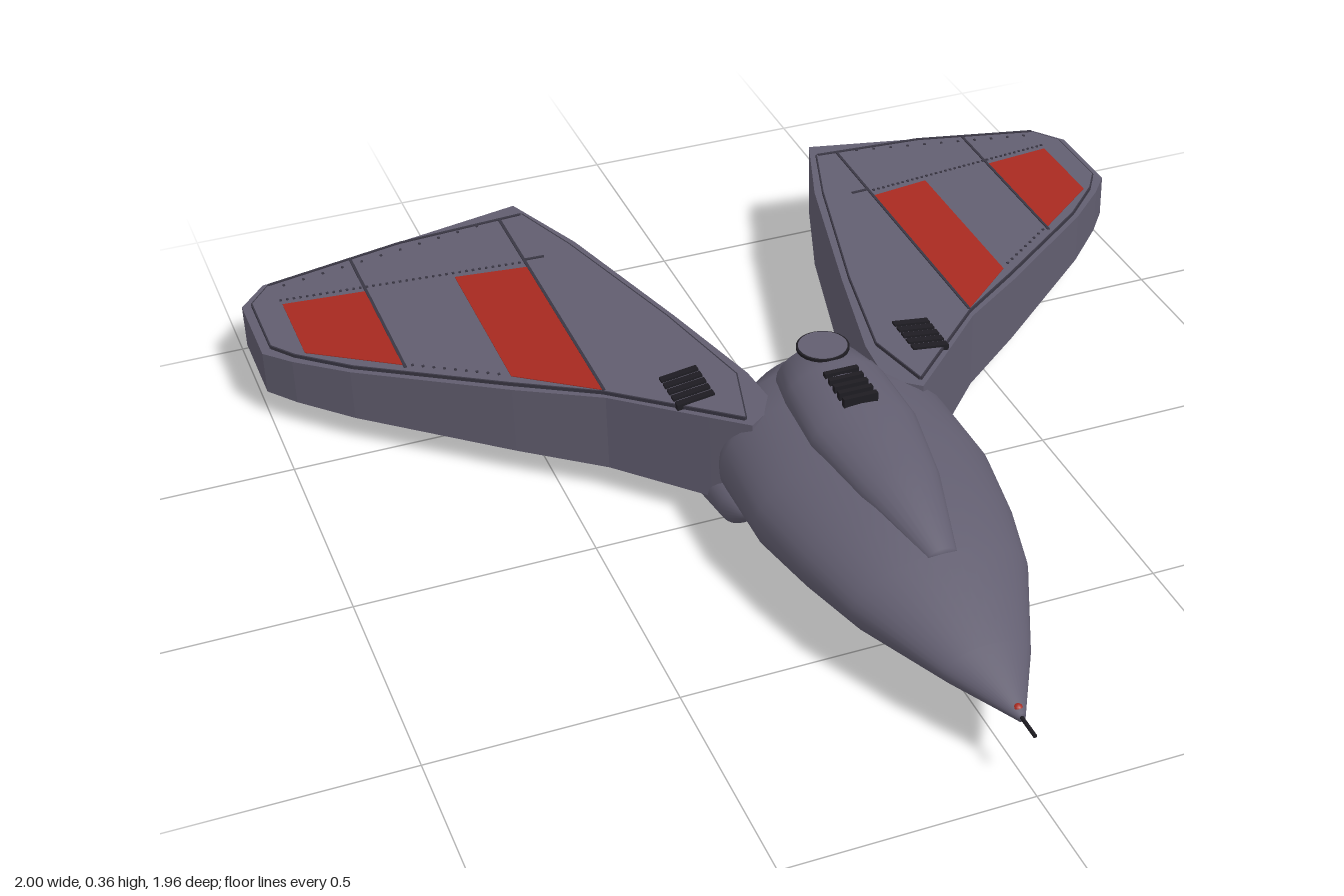
import * as THREE from 'three';

const mat = (name, color) => {
  const m = new THREE.MeshStandardMaterial({ color });
  m.name = name;
  return m;
};

export function createModel() {
  const root = new THREE.Group();
  root.name = 'fighterCraft';
  const grey = mat('hullGrey', 0x625e70);
  const red = mat('panelRed', 0xa82a20);
  const gold = mat('nozzleGold', 0xa8803e);
  gold.side = THREE.DoubleSide;
  const dark = mat('ventBlack', 0x1e1c22);
  const seam = mat('seamGrey', 0x3a3744);

  const add = (parent, name, geo, m, x = 0, y = 0, z = 0) => {
    const mesh = new THREE.Mesh(geo, m);
    mesh.name = name;
    mesh.position.set(x, y, z);
    parent.add(mesh);
    return mesh;
  };

  // Smooth loft through oval sections [z, halfWidth, top, bottom, centreX], nose to tail
  const loft = (sections, n = 32) => {
    const pos = [], idx = [];
    for (const [z, w, top, bot, cx = 0] of sections)
      for (let j = 0; j < n; j++) {
        const a = (j / n) * Math.PI * 2;
        pos.push(cx + w * Math.cos(a), (top + bot) / 2 + ((top - bot) / 2) * Math.sin(a), z);
      }
    const last = sections.length - 1;
    for (let i = 0; i < last; i++)
      for (let j = 0; j < n; j++) {
        const k = (j + 1) % n;
        const a = i * n + j, b = i * n + k, c = a + n, d = b + n;
        idx.push(a, c, b, b, c, d);
      }
    for (const i of [0, last]) {
      const [z, , top, bot, cx = 0] = sections[i];
      const centre = pos.length / 3;
      pos.push(cx, (top + bot) / 2, z);
      for (let j = 0; j < n; j++) {
        const a = i * n + j, b = i * n + ((j + 1) % n);
        if (i === 0) idx.push(centre, a, b);
        else idx.push(centre, b, a);
      }
    }
    const g = new THREE.BufferGeometry();
    g.setAttribute('position', new THREE.Float32BufferAttribute(pos, 3));
    g.setIndex(idx);
    g.computeVertexNormals();
    return g;
  };

  // Fuselage, canopy and nose probe
  add(root, 'fuselage', loft([
    [0.925, 0.008, 0.14, 0.12], [0.78, 0.088, 0.188, 0.098], [0.57, 0.183, 0.252, 0.065],
    [0.42, 0.222, 0.278, 0.045], [0.25, 0.252, 0.295, 0.025], [0.05, 0.25, 0.3, 0.018],
    [-0.06, 0.21, 0.292, 0.018], [-0.13, 0.13, 0.265, 0.04], [-0.18, 0.015, 0.2, 0.11],
  ], 40), grey);
  add(root, 'canopy', loft([
    [0.575, 0.03, 0.262, 0.23], [0.38, 0.083, 0.322, 0.22], [0.2, 0.113, 0.342, 0.23],
    [0.05, 0.108, 0.357, 0.23], [-0.04, 0.092, 0.347, 0.22], [-0.13, 0.04, 0.275, 0.2],
  ], 24), grey);
  add(root, 'probe', new THREE.CylinderGeometry(0.004, 0.004, 0.08, 8).rotateX(Math.PI / 2), dark, 0, 0.13, 0.94);
  add(root, 'noseLight', new THREE.SphereGeometry(0.01, 12, 8), red, 0, 0.138, 0.908);

  // Dorsal hatch and vent
  add(root, 'hatchRim', new THREE.CylinderGeometry(0.054, 0.054, 0.006, 24), dark, 0, 0.356, -0.015);
  add(root, 'hatch', new THREE.CylinderGeometry(0.05, 0.05, 0.007, 24), grey, 0, 0.357, -0.015);
  for (let i = 0; i < 5; i++)
    add(root, 'dorsalSlat', new THREE.BoxGeometry(0.072, 0.02, 0.012), dark, 0, 0.35, 0.082 + i * 0.024);

  // Wing upper surface falls evenly from root to tip
  const wingTop = (x) => 0.254 - 0.13 * (Math.abs(x) - 0.28);
  // Slab over an [x, z] outline, between bottom(x) and top(x)
  const slab = (outline, side, bottom, top) => {
    const shape = new THREE.Shape(outline.map(([x, z]) => new THREE.Vector2(x * side, -z)));
    const g = new THREE.ExtrudeGeometry(shape, { depth: 1, bevelEnabled: false }).rotateX(-Math.PI / 2);
    const p = g.attributes.position;
    for (let i = 0; i < p.count; i++) p.setY(i, p.getY(i) > 0.5 ? top(p.getX(i)) : bottom(p.getX(i)));
    g.computeVertexNormals();
    return g;
  };
  const plate = (outline, side, lo, hi) => slab(outline, side, (x) => wingTop(x) + lo, (x) => wingTop(x) + hi);
  // Thin strip outline between two points
  const strip = ([x1, z1], [x2, z2], w) => {
    const l = Math.hypot(x2 - x1, z2 - z1);
    const dx = (-(z2 - z1) / l) * w / 2, dz = ((x2 - x1) / l) * w / 2;
    return [[x1 + dx, z1 + dz], [x2 + dx, z2 + dz], [x2 - dx, z2 - dz], [x1 - dx, z1 - dz]];
  };

  const wingOutline = [
    [0.185, 0.07], [0.25, 0], [0.41, -0.175], [0.57, -0.305], [0.85, -0.55], [0.95, -0.655], [1, -0.72],
    [1, -0.92], [0.94, -0.98], [0.36, -0.98], [0.285, -0.76], [0.19, -0.37], [0.13, -0.1], [0.12, 0.03],
  ];
  const skinOutline = [
    [0.19, 0.045], [0.25, -0.02], [0.41, -0.192], [0.57, -0.325], [0.84, -0.56], [0.94, -0.67], [0.978, -0.73],
    [0.978, -0.91], [0.93, -0.962], [0.63, -0.965], [0.358, -0.925], [0.303, -0.75], [0.208, -0.37], [0.155, -0.1],
  ];
  const redPanels = [
    [[0.41, -0.192], [0.56, -0.34], [0.56, -0.76], [0.41, -0.71]],
    [[0.745, -0.5], [0.92, -0.66], [0.92, -0.868], [0.745, -0.815]],
  ];
  const seams = [
    [[0.408, -0.19], [0.408, -0.93]], [[0.745, -0.49], [0.745, -0.96]], [[0.365, -0.73], [0.405, -0.74]],
    [[0.63, -0.962], [0.93, -0.96]], [[0.36, -0.922], [0.63, -0.962]],
  ];

  for (const side of [1, -1]) {
    const wing = new THREE.Group();
    wing.name = side > 0 ? 'leftWing' : 'rightWing';
    root.add(wing);
    add(wing, 'wingBody', slab(wingOutline, side, () => 0.064, wingTop), grey);
    add(wing, 'wingSkin', plate(skinOutline, side, -0.005, 0.008), grey);
    // Dark border around the raised skin
    skinOutline.forEach((p, i) => {
      const q = skinOutline[(i + 1) % skinOutline.length];
      add(wing, 'skinEdge', plate(strip(p, q, 0.006), side, -0.002, 0.0075), seam);
    });
    for (const o of redPanels) add(wing, 'redPanel', plate(o, side, 0.005, 0.0095), red);
    for (const [a, b] of seams) add(wing, 'panelSeam', plate(strip(a, b, 0.006), side, 0.005, 0.0105), seam);

    // Rivet row across the wing and behind the leading edge
    const rivets = (a, b, n) => {
      for (let i = 0; i <= n; i++) {
        const x = a[0] + ((b[0] - a[0]) * i) / n, z = a[1] + ((b[1] - a[1]) * i) / n;
        add(wing, 'rivet', new THREE.BoxGeometry(0.005, 0.004, 0.005), seam, x * side, wingTop(x) + 0.009, z);
      }
    };
    rivets([0.42, -0.735], [0.92, -0.885], 36);
    rivets([0.58, -0.36], [0.73, -0.49], 8);
    rivets([0.46, -0.93], [0.9, -0.94], 10);

    // Wing-root vent
    for (let i = 0; i < 5; i++) {
      const z = -0.062 - i * 0.024;
      add(wing, 'ventSlat', plate([[0.218, z + 0.008], [0.298, z + 0.008], [0.298, z - 0.008], [0.218, z - 0.008]],
        side, 0, 0.013), dark);
    }

    // Engine pod with petalled nozzle
    const engine = new THREE.Group();
    engine.name = side > 0 ? 'leftEngine' : 'rightEngine';
    root.add(engine);
    add(engine, 'pod', loft([
      [0.085, 0.02, 0.09, 0.05, 0.2 * side], [0.05, 0.05, 0.115, 0.018, 0.2 * side],
      [-0.1, 0.066, 0.12, 0.004, 0.2 * side], [-0.22, 0.06, 0.105, 0.009, 0.197 * side],
      [-0.31, 0.05, 0.096, 0.015, 0.192 * side],
    ], 24), grey);
    const nozzle = new THREE.Group();
    nozzle.name = 'nozzle';
    nozzle.position.set(0.19 * side, 0.056, 0);
    engine.add(nozzle);
    const tube = (r1, r2, z1, z2, start, sweep, seg) =>
      new THREE.CylinderGeometry(r1, r2, z1 - z2, seg, 1, true, start, sweep)
        .rotateX(Math.PI / 2).translate(0, 0, (z1 + z2) / 2);
    add(nozzle, 'nozzleRing', tube(0.045, 0.041, -0.3, -0.375, 0, Math.PI * 2, 24), gold);
    for (let i = 0; i < 8; i++)
      add(nozzle, 'petal', tube(0.043, 0.038, -0.34, -0.41, (i * Math.PI) / 4, 0.55, 4), gold);
    add(nozzle, 'nozzleCore', new THREE.CircleGeometry(0.041, 24).rotateY(Math.PI), dark, 0, 0, -0.345);
  }
  return root;
}
